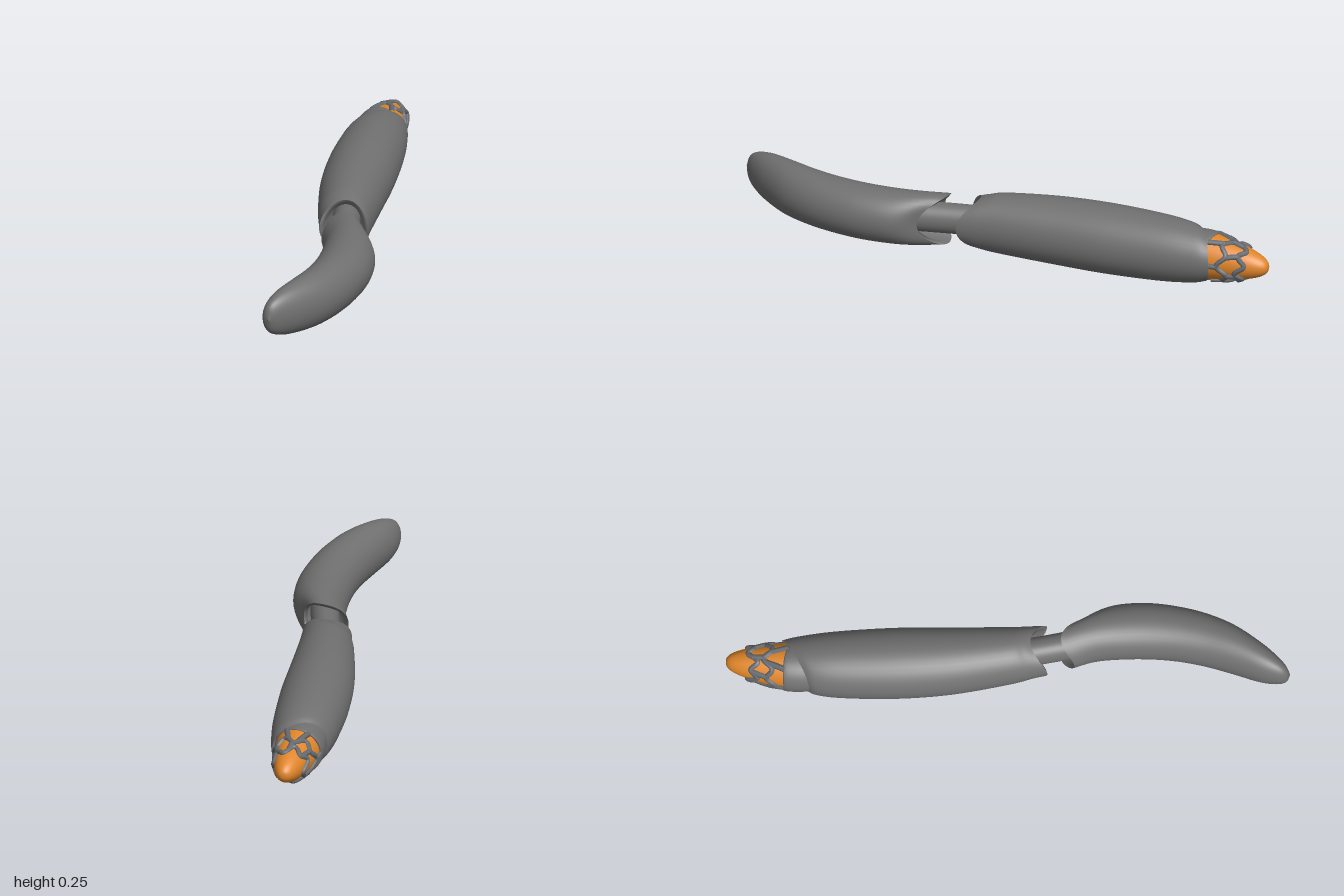
import * as THREE from 'three';

const CY = 0.13; // height of the long axis
const SIDES = 40;

// Skin rings [z, xCentre, rx, ry, skew, notch]; skew and notch bend each ring along z
function loft(sections, steps = 1) {
  const full = sections.map(s => [...s, 0, 0].slice(0, 6));
  const a = new THREE.CatmullRomCurve3(full.map(s => new THREE.Vector3(s[0], s[1], s[2])), false, 'catmullrom');
  const b = new THREE.CatmullRomCurve3(full.map(s => new THREE.Vector3(s[3], s[4], s[5])), false, 'catmullrom');
  const rows = (full.length - 1) * steps;
  const pos = [], idx = [];
  for (let i = 0; i <= rows; i++) {
    const p = a.getPoint(i / rows), q = b.getPoint(i / rows);
    for (let j = 0; j < SIDES; j++) {
      const t = j / SIDES * Math.PI * 2;
      pos.push(p.y + p.z * Math.cos(t), CY + q.x * Math.sin(t),
        p.x + q.y * Math.cos(t) + q.z * Math.cos(2 * t));
    }
  }
  for (let i = 0; i < rows; i++) {
    for (let j = 0; j < SIDES; j++) {
      const k = (j + 1) % SIDES, r = i * SIDES, s = r + SIDES;
      idx.push(r + j, r + k, s + k, r + j, s + k, s + j);
    }
  }
  const g = new THREE.BufferGeometry();
  g.setAttribute('position', new THREE.Float32BufferAttribute(pos, 3));
  g.setIndex(idx);
  g.computeVertexNormals();
  return g;
}

// Centre and radii of the bullet-shaped tip at a given z
function tipSection(z) {
  const d = Math.max((z + 1) / 0.22, 0);
  const r = 0.081 * Math.pow(d, 0.4);
  return [z, -0.035 - 0.017 * d, r, r * 1.05];
}

function tipPoint(t, z) {
  const [, x, rx, ry] = tipSection(z);
  return new THREE.Vector3(x + rx * Math.cos(t), CY + ry * Math.sin(t), z);
}

export function createModel() {
  const model = new THREE.Group();
  const grey = new THREE.MeshStandardMaterial({ color: 0x707070, side: THREE.DoubleSide });
  grey.name = 'grey shell';
  const orange = new THREE.MeshStandardMaterial({ color: 0xe0862a });
  orange.name = 'orange tip';
  const slate = new THREE.MeshStandardMaterial({ color: 0x686d72 });
  slate.name = 'slate net';

  const add = (name, geometry, material, parent = model) => {
    const m = new THREE.Mesh(geometry, material);
    m.name = name;
    parent.add(m);
    return m;
  };

  // Thick rear shell with an oblique rear rim and a notched front rim
  const bodyRim = [0.11, -0.002, 0.088, 0.093, 0, 0.03];
  add('rearShell', loft([
    [-0.755, -0.05, 0.09, 0.09, -0.045],
    [-0.71, -0.052, 0.104, 0.106, -0.035],
    [-0.6, -0.049, 0.118, 0.119, -0.015],
    [-0.4, -0.045, 0.126, 0.126],
    [-0.2, -0.038, 0.119, 0.123],
    [0, -0.02, 0.101, 0.112, 0, 0.006],
    [0.07, -0.008, 0.092, 0.102, 0, 0.02],
    bodyRim,
  ], 6), grey);
  add('rearShellSocket', loft([
    bodyRim,
    [0.105, -0.002, 0.074, 0.08, 0, 0.03],
    [0.03, -0.01, 0.06, 0.062],
    [0.03, -0.01, 0.001, 0.001],
  ]), grey);

  // Curved front shell, rounded to a point at the front
  const frontRim = [0.224, 0.022, 0.084, 0.096, 0.022, 0.034];
  add('frontShell', loft([
    frontRim,
    [0.31, 0.053, 0.092, 0.1, 0.012, 0.012],
    [0.4, 0.067, 0.098, 0.1],
    [0.5, 0.069, 0.1, 0.1],
    [0.6, 0.058, 0.098, 0.1],
    [0.7, 0.035, 0.095, 0.1],
    [0.8, -0.002, 0.088, 0.099],
    [0.89, -0.048, 0.071, 0.09],
    [0.95, -0.079, 0.049, 0.073],
    [0.985, -0.096, 0.026, 0.047],
    [1.0, -0.1, 0.001, 0.001],
  ], 5), grey);
  add('frontShellSocket', loft([
    [0.33, 0.05, 0.001, 0.001],
    [0.33, 0.05, 0.064, 0.066],
    [0.232, 0.022, 0.073, 0.083, 0.022, 0.034],
    frontRim,
  ]), grey);

  // Round pin joining the two shells
  add('jointPin', loft([
    [0.02, -0.014, 0.05, 0.055],
    [0.13, 0.002, 0.05, 0.056],
    [0.34, 0.042, 0.052, 0.056],
  ], 3), grey);

  // Collar between the rear shell and the tip
  add('collar', loft([
    [-0.785, -0.053, 0.078, 0.08, 0.015, 0.006],
    [-0.783, -0.053, 0.087, 0.089, 0.015, 0.006],
    [-0.74, -0.054, 0.09, 0.091],
    [-0.66, -0.052, 0.088, 0.09],
  ], 3), grey);

  // Bullet-shaped tip
  const rings = [];
  for (let i = 0; i <= 16; i++) rings.push(tipSection(-1 + 0.25 * (i / 16) ** 2));
  add('tip', loft(rings, 2), orange);

  // Irregular net of ribs wrapped over the tip
  const net = new THREE.Group();
  net.name = 'tipNet';
  model.add(net);
  const N = 6;
  const wave = (t, base, phase) => base + 0.014 * Math.sin(N * t + phase) + 0.007 * Math.sin(2 * t + phase);
  const rows = [[-0.785, 0], [-0.845, 1.2], [-0.905, 3.4]];
  for (const [base, phase] of rows.slice(1)) {
    const pts = [];
    for (let i = 0; i < 48; i++) {
      const t = i / 48 * Math.PI * 2;
      pts.push(tipPoint(t, wave(t, base, phase)));
    }
    add('netRing', new THREE.TubeGeometry(new THREE.CatmullRomCurve3(pts, true), 96, 0.01, 6, true), slate, net);
  }
  for (let row = 0; row < 2; row++) {
    for (let i = 0; i < N; i++) {
      const t0 = (i + row * 0.5) / N * Math.PI * 2, lean = 0.28 * Math.sin(i * 2.3 + row);
      const z0 = wave(t0, ...rows[row]), z1 = wave(t0 + lean, ...rows[row + 1]);
      const pts = [0, 0.33, 0.67, 1].map(k => tipPoint(t0 + lean * k, z0 + (z1 - z0) * k));
      add('netRib', new THREE.TubeGeometry(new THREE.CatmullRomCurve3(pts), 8, 0.011, 6), slate, net);
    }
  }

  return model;
}
